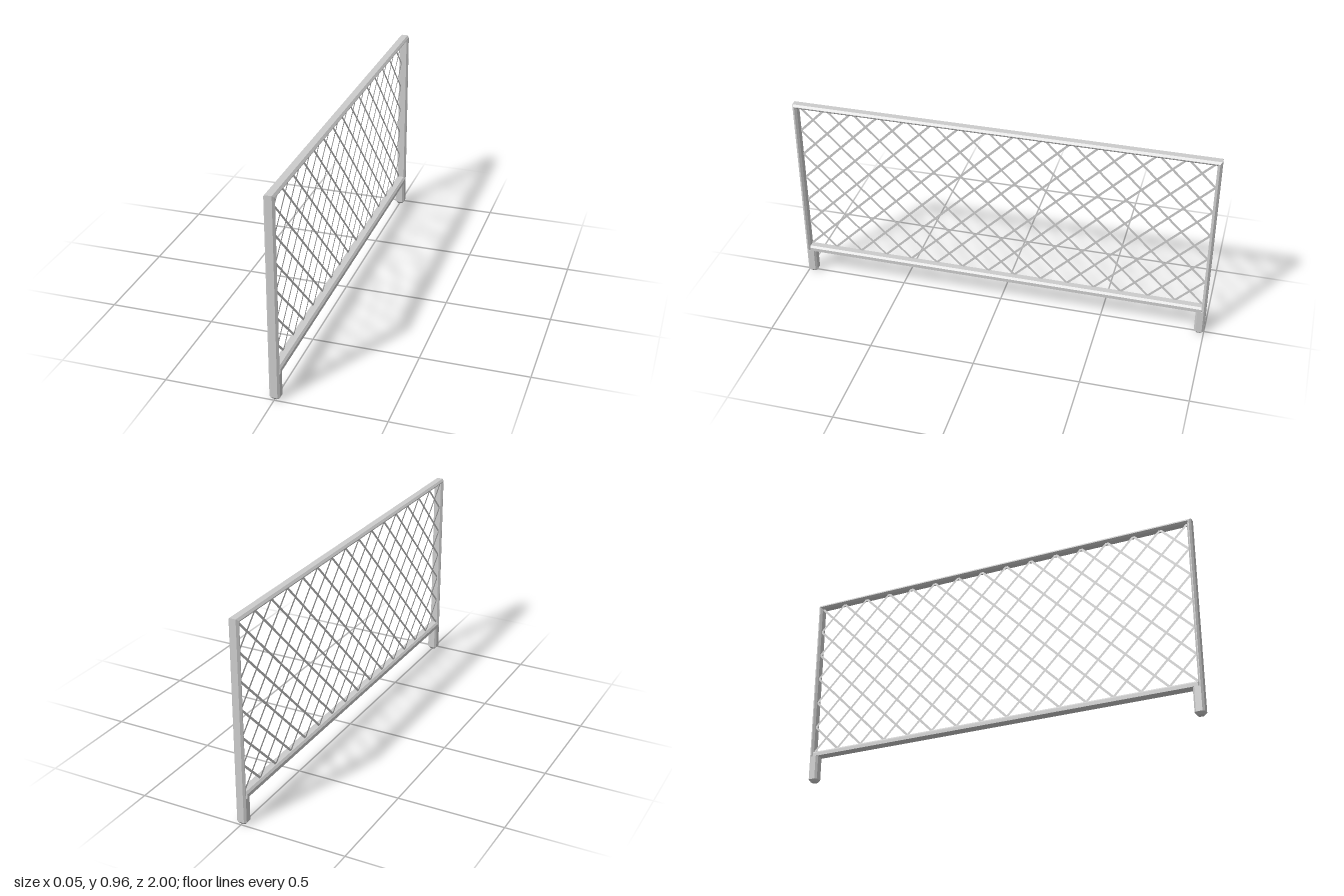
import * as THREE from 'three';

const W = 0.024;      // half width of the frame across x
const C = 0.009;      // chamfer
const D = 0.021;      // depth of the frame bars
const L = 0.0235;     // half depth of a leg
const TOP = 0.96, RAIL = 0.128, RAIL_TOP = 0.154;

const material = new THREE.MeshStandardMaterial({ color: 0xcccccc, flatShading: true });
const thinMaterial = new THREE.MeshStandardMaterial({ color: 0xcccccc, side: THREE.DoubleSide });

// Flattened eight-sided bar of the upper frame: [x, depth from the outer face]
const frameSection = [
  [-W, D - C], [-W, C], [-W + C, 0], [W - C, 0],
  [W, C], [W, D - C], [W - C, D], [-W + C, D],
];
// Bottom rail, chamfered on top and flat underneath: [x, y]
const railSection = [[-W, RAIL], [-W, RAIL_TOP - C], [-W + C, RAIL_TOP], [W - C, RAIL_TOP], [W, RAIL_TOP - C], [W, RAIL]];

// Joins convex rings of [x, y, z] points into a closed solid, facing outwards
function loft(rings) {
  const tris = [];
  const n = rings[0].length;
  for (let r = 0; r < rings.length - 1; r++) {
    for (let i = 0; i < n; i++) {
      const j = (i + 1) % n;
      const [a, b, c, d] = [rings[r][i], rings[r][j], rings[r + 1][j], rings[r + 1][i]];
      tris.push([a, b, c], [a, c, d]);
    }
  }
  const last = rings[rings.length - 1];
  for (let i = 1; i < n - 1; i++) {
    tris.push([rings[0][0], rings[0][i + 1], rings[0][i]], [last[0], last[i], last[i + 1]]);
  }
  // A negative volume means the rings run the other way round
  let volume = 0;
  for (const [a, b, c] of tris) {
    volume += new THREE.Vector3(...a).dot(new THREE.Vector3(...b).cross(new THREE.Vector3(...c)));
  }
  if (volume < 0) tris.forEach((t) => t.reverse());
  const geometry = new THREE.BufferGeometry();
  geometry.setAttribute('position', new THREE.Float32BufferAttribute(tris.flat(2), 3));
  geometry.computeVertexNormals();
  return geometry;
}

function add(parent, name, geometry, mat = material) {
  const mesh = new THREE.Mesh(geometry, mat);
  mesh.name = name;
  parent.add(mesh);
  return mesh;
}

export function createModel() {
  const model = new THREE.Group();
  model.name = 'fencePanel';

  // Upper frame: two uprights and the top rail, mitred at the corners
  const corner = (s, atTop) => frameSection.map(([x, d]) => [x, atTop ? TOP - d : RAIL, s * (1 - d)]);
  add(model, 'upperFrame', loft([corner(1, false), corner(1, true), corner(-1, true), corner(-1, false)]));

  // Bottom rail between the uprights
  const railEnd = (z) => railSection.map(([x, y]) => [x, y, z]);
  add(model, 'bottomRail', loft([railEnd(1 - D), railEnd(D - 1)]));

  // Legs: full chamfered posts with a tapered foot
  const legRing = (y, inset, z) => {
    const w = W - inset, d = L - inset, c = inset ? C * 0.6 : C;
    return [[w, d - c], [w - c, d], [c - w, d], [-w, d - c], [-w, c - d], [c - w, -d], [w - c, -d], [w, c - d]]
      .map(([x, dz]) => [x, y, z + dz]);
  };
  for (const [name, s] of [['frontLeg', 1], ['backLeg', -1]]) {
    const z = s * (1 - L);
    add(model, name, loft([legRing(0, 0.01, z), legRing(0.012, 0, z), legRing(RAIL, 0, z)]));
  }

  // Diagonal lattice of thin strips, set towards the right face: 15 by 6 cells
  const lattice = new THREE.Group();
  lattice.name = 'lattice';
  lattice.position.x = -0.01;
  model.add(lattice);
  const cols = 15, rows = 6;
  const y0 = RAIL_TOP, y1 = TOP - D, z0 = 1 - D;
  const point = (c, r, s) => new THREE.Vector3(0, y0 + (y1 - y0) * r / rows, s * z0 * (1 - 2 * c / cols));
  for (const s of [1, -1]) {
    for (let k = 1 - rows; k < cols; k++) {
      const c0 = Math.max(k, 0), c1 = Math.min(k + rows, cols);
      const a = point(c0, c0 - k, s), b = point(c1, c1 - k, s);
      const strip = new THREE.PlaneGeometry(0.011, a.distanceTo(b)).rotateY(Math.PI / 2);
      const bar = add(lattice, 'latticeStrip', strip, thinMaterial);
      bar.position.lerpVectors(a, b, 0.5);
      bar.quaternion.setFromUnitVectors(new THREE.Vector3(0, 1, 0), b.clone().sub(a).normalize());
    }
  }
  return model;
}
